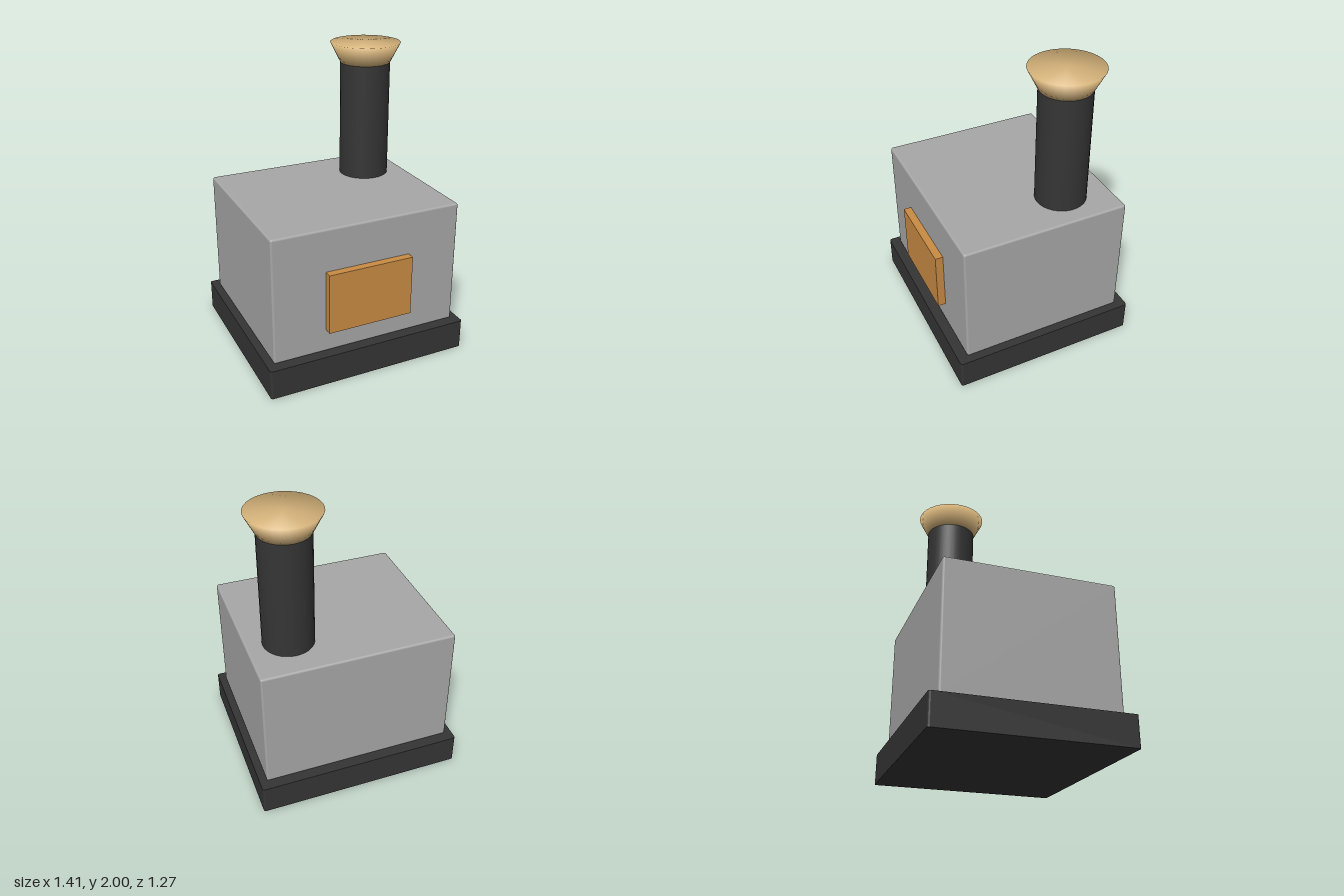
import * as THREE from 'three';
import { RoundedBoxGeometry } from 'three/addons/geometries/RoundedBoxGeometry.js';

const mat = (name, color) => {
  const m = new THREE.MeshStandardMaterial({ color });
  m.name = name;
  return m;
};

// Slab with rounded vertical corners, standing on y = 0
function slab(w, h, d, r) {
  const x = w / 2, y = d / 2;
  const s = new THREE.Shape();
  [[x - r, y - r, 0], [r - x, y - r, 1], [r - x, r - y, 2], [x - r, r - y, 3]].forEach(([cx, cy, q]) =>
    s.absarc(cx, cy, r, q * Math.PI / 2, (q + 1) * Math.PI / 2, false));
  return new THREE.ExtrudeGeometry(s, { depth: h, bevelEnabled: false, curveSegments: 4 }).rotateX(-Math.PI / 2);
}

export function createModel() {
  const group = new THREE.Group();
  group.name = 'stove';
  const iron = mat('dark iron', 0x353535);
  const steel = mat('grey steel', 0xa7a7a7);
  const copper = mat('copper orange', 0xc98b44);
  const brass = mat('pale brass', 0xd4b27a);

  const add = (name, geometry, material, x, y, z) => {
    const mesh = new THREE.Mesh(geometry, material);
    mesh.name = name;
    mesh.position.set(x, y, z);
    group.add(mesh);
  };

  // Hearth plate and firebox
  add('base', slab(1.41, 0.205, 1.27, 0.015), iron, 0, 0, 0);
  add('firebox', new RoundedBoxGeometry(1.31, 0.865, 1.135, 3, 0.014), steel, 0, 0.6375, 0);

  // Door standing proud of the front
  add('door', new THREE.BoxGeometry(0.59, 0.415, 0.07), copper, 0, 0.5725, 0.585);

  // Flue pipe with a flared, softly shaded cap
  add('fluePipe', new THREE.CylinderGeometry(0.171, 0.171, 0.805, 32), iron, 0.375, 1.4625, -0.24);
  const profile = [[0, 0], [0.171, 0], [0.24, 0.135], [0, 0.135]].map(p => new THREE.Vector2(...p));
  add('flueCap', new THREE.LatheGeometry(profile, 32), brass, 0.375, 1.865, -0.24);

  return group;
}
